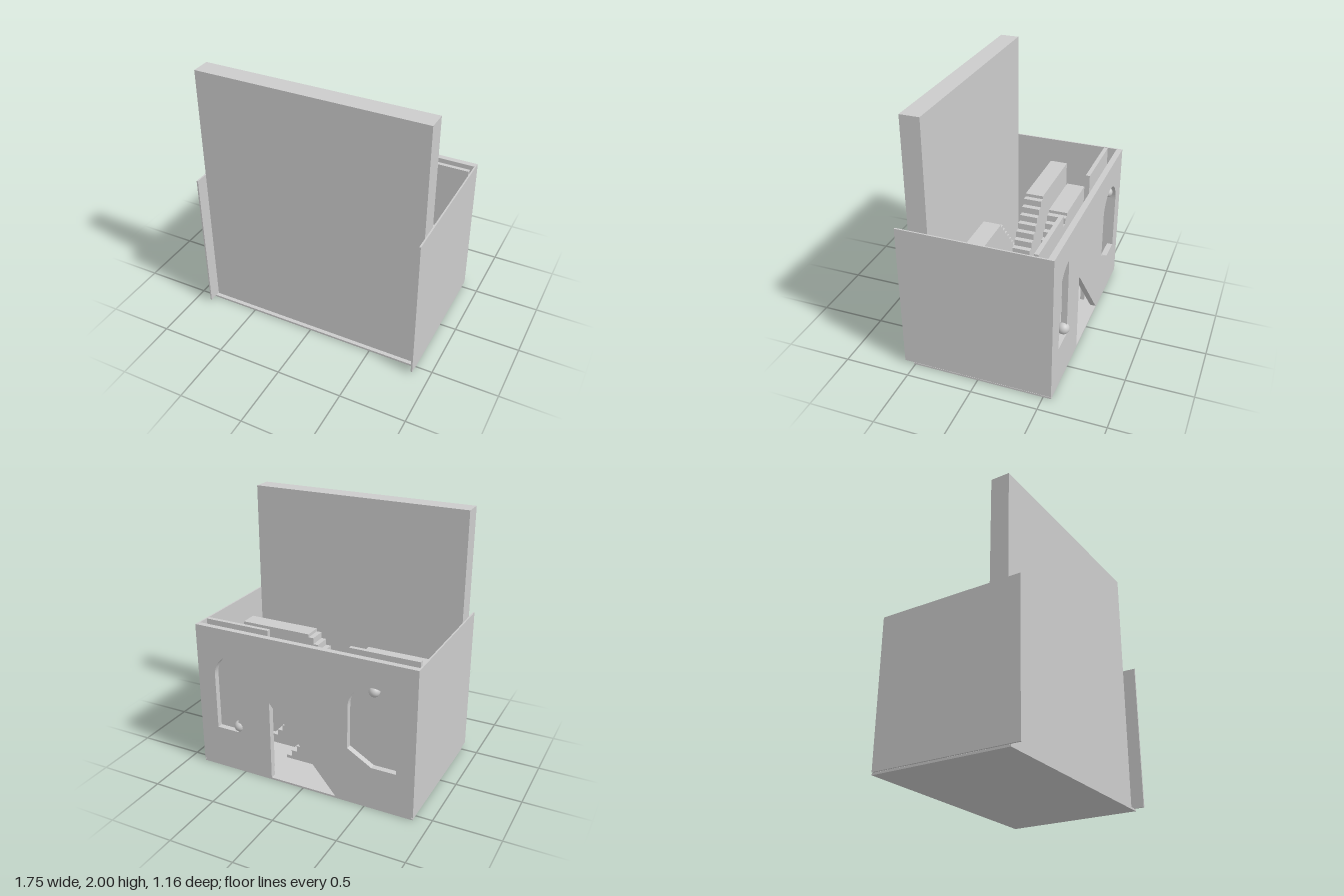
import * as THREE from 'three';

export function createModel() {
  const group = new THREE.Group();
  const material = new THREE.MeshStandardMaterial({ color: 0xcccccc, flatShading: true });
  const smooth = new THREE.MeshStandardMaterial({ color: 0xcccccc });

  const add = (name, geometry, mat = material) => {
    const mesh = new THREE.Mesh(geometry, mat);
    mesh.name = name;
    group.add(mesh);
    return mesh;
  };
  // Box given by its limits on each axis
  const box = (name, x0, x1, y0, y1, z0, z1) =>
    add(name, new THREE.BoxGeometry(x1 - x0, y1 - y0, z1 - z0))
      .position.set((x0 + x1) / 2, (y0 + y1) / 2, (z0 + z1) / 2);
  // Outline in x and y, extruded from z0 to z1
  const slab = (name, shape, z0, z1) =>
    add(name, new THREE.ExtrudeGeometry(shape, { depth: z1 - z0, bevelEnabled: false, curveSegments: 16 }))
      .position.z = z0;

  // Floor, side walls and tall front slab
  const floorTop = 0.015, wallTop = 1.158;
  box('floor', -0.873, 0.873, 0, floorTop, -0.56, 0.51);
  box('leftWall', 0.864, 0.876, 0.02, wallTop, -0.56, 0.58);
  box('rightWall', -0.876, -0.864, 0.02, wallTop, -0.56, 0.58);
  box('frontSlab', -0.864, 0.864, floorTop, 2, 0.335, 0.48);

  // Back wall with a sloping doorway cut from its lower edge
  const back = new THREE.Shape([
    [-0.864, floorTop], [-0.27, floorTop], [0.268, 0.65], [0.268, floorTop],
    [0.864, floorTop], [0.864, wallTop], [-0.864, wallTop],
  ].map(([x, y]) => new THREE.Vector2(x, y)));

  // Half-arched window
  const narrow = new THREE.Path();
  narrow.moveTo(0.543, 0.335);
  narrow.lineTo(0.73, 0.335);
  narrow.lineTo(0.73, 0.773);
  narrow.absarc(0.543, 0.773, 0.187, 0, Math.PI / 2, false);
  narrow.closePath();

  // Arched window with one cut corner
  const wide = new THREE.Path();
  wide.moveTo(-0.738, 0.335);
  wide.lineTo(-0.551, 0.335);
  wide.lineTo(-0.364, 0.445);
  wide.lineTo(-0.364, 0.773);
  wide.absarc(-0.551, 0.773, 0.187, 0, Math.PI, false);
  wide.closePath();
  back.holes.push(narrow, wide);
  slab('backWall', back, -0.56, -0.515);

  // Round knobs in the windows
  const knob = (name, x, y, r) =>
    add(name, new THREE.SphereGeometry(r, 24, 16), smooth).position.set(x, y, -0.535);
  knob('leftKnob', 0.545, 0.38, 0.045);
  knob('rightKnob', -0.553, 0.925, 0.04);

  // Panels behind the windows
  box('leftPanel', 0.328, 0.852, floorTop, 1.165, -0.447, -0.415);
  box('rightPanel', -0.842, -0.318, floorTop, 1.165, -0.447, -0.415);

  // Staircase: a landing against a wall, then steps down to the foot
  const stairs = (name, wallX, landingX, footX, steps, top, z0, z1) => {
    const shape = new THREE.Shape();
    const run = (footX - landingX) / steps, rise = (top - floorTop) / steps;
    shape.moveTo(wallX, floorTop);
    shape.lineTo(wallX, top);
    shape.lineTo(landingX, top);
    for (let i = 1; i <= steps; i++) {
      const x = landingX + run * i;
      shape.lineTo(x - run, top - rise * (i - 0.5));
      shape.lineTo(x, top - rise * (i - 0.5));
    }
    shape.lineTo(footX, floorTop);
    shape.closePath();
    slab(name, shape, z0, z1);
  };
  stairs('rearStairs', -0.862, -0.38, 0.31, 15, 0.77, -0.26, -0.108);
  stairs('middleStairs', -0.862, -0.245, 0.567, 19, 0.96, -0.1, 0.041);
  stairs('frontStairs', 0.857, 0.267, -0.51, 19, 0.96, 0.046, 0.182);

  return group;
}
